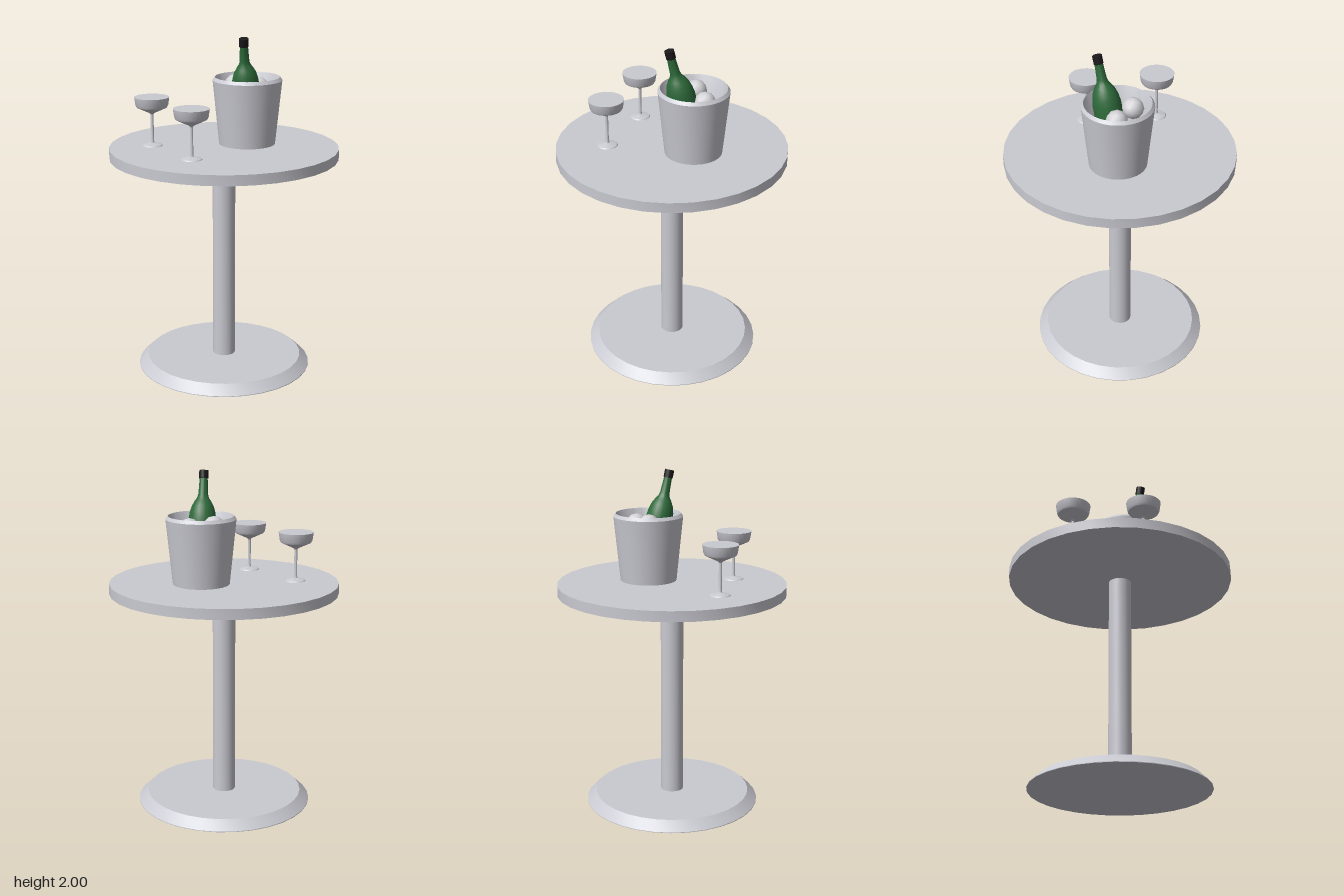
import * as THREE from 'three';
import { toCreasedNormals } from 'three/addons/utils/BufferGeometryUtils.js';

const silver = new THREE.MeshStandardMaterial({ color: 0xc9c9d1 });
silver.name = 'silver';
const ice = new THREE.MeshStandardMaterial({ color: 0xd4d4d8 });
ice.name = 'ice';
const greenGlass = new THREE.MeshStandardMaterial({ color: 0x2d6a3a });
greenGlass.name = 'greenGlass';
const blackFoil = new THREE.MeshStandardMaterial({ color: 0x1c191b });
blackFoil.name = 'blackFoil';

// Turned part from [radius, height] pairs, listed from the bottom up the outside
function turned(name, profile, sides, material) {
  const points = profile.map(([r, y]) => new THREE.Vector2(r, y));
  const geometry = toCreasedNormals(new THREE.LatheGeometry(points, sides), 0.55);
  const mesh = new THREE.Mesh(geometry, material);
  mesh.name = name;
  return mesh;
}

function createGlass(x, z) {
  const glass = turned('coupeGlass', [
    [0, 0], [0.06, 0], [0.055, 0.006], [0.012, 0.018], [0.009, 0.03],
    [0.009, 0.185], [0.014, 0.193], [0.088, 0.228], [0.095, 0.24], [0.102, 0.288], [0, 0.288],
  ], 32, silver);
  glass.position.set(x, 1.357, z);
  return glass;
}

function createBottle() {
  const bottle = new THREE.Group();
  bottle.name = 'bottle';
  bottle.add(
    turned('bottleBody', [
      [0, 0], [0.076, 0], [0.08, 0.008], [0.08, 0.33], [0.074, 0.37],
      [0.064, 0.405], [0.048, 0.435], [0.034, 0.455], [0.028, 0.475], [0.023, 0.57], [0, 0.57],
    ], 24, greenGlass),
    turned('bottleCap', [[0, 0.566], [0.027, 0.566], [0.027, 0.612], [0, 0.612]], 20, blackFoil),
  );
  // Leans towards the front right of the bucket
  const lean = new THREE.Vector3(-0.15, 1, 0.2).normalize();
  bottle.quaternion.setFromUnitVectors(new THREE.Vector3(0, 1, 0), lean);
  bottle.position.set(0.155, 1.4, 0);
  return bottle;
}

export function createModel() {
  const model = new THREE.Group();
  model.name = 'barTable';

  // Pedestal table
  model.add(
    turned('tableBase', [[0, 0], [0.52, 0], [0.52, 0.004], [0.465, 0.057], [0, 0.057]], 32, silver),
    turned('tableColumn', [[0.067, 0.05], [0.067, 1.3]], 32, silver),
    turned('tableTop', [[0, 1.297], [0.67, 1.297], [0.67, 1.357], [0, 1.357]], 32, silver),
  );

  // Hollow bucket with a bevelled lip
  const bucket = turned('iceBucket', [
    [0, 1.36], [0.165, 1.36], [0.203, 1.737], [0.189, 1.755],
    [0.186, 1.75], [0.158, 1.385], [0, 1.385],
  ], 40, silver);
  bucket.position.x = 0.15;
  model.add(bucket, createBottle());

  // Faceted ice balls
  for (const [x, y, z] of [[0.11, 1.7, -0.08], [0.225, 1.685, 0]]) {
    const ball = new THREE.Mesh(new THREE.IcosahedronGeometry(0.062, 1), ice);
    ball.name = 'iceBall';
    ball.position.set(x, y, z);
    model.add(ball);
  }

  model.add(createGlass(-0.373, -0.19), createGlass(-0.3, 0.22));
  return model;
}
